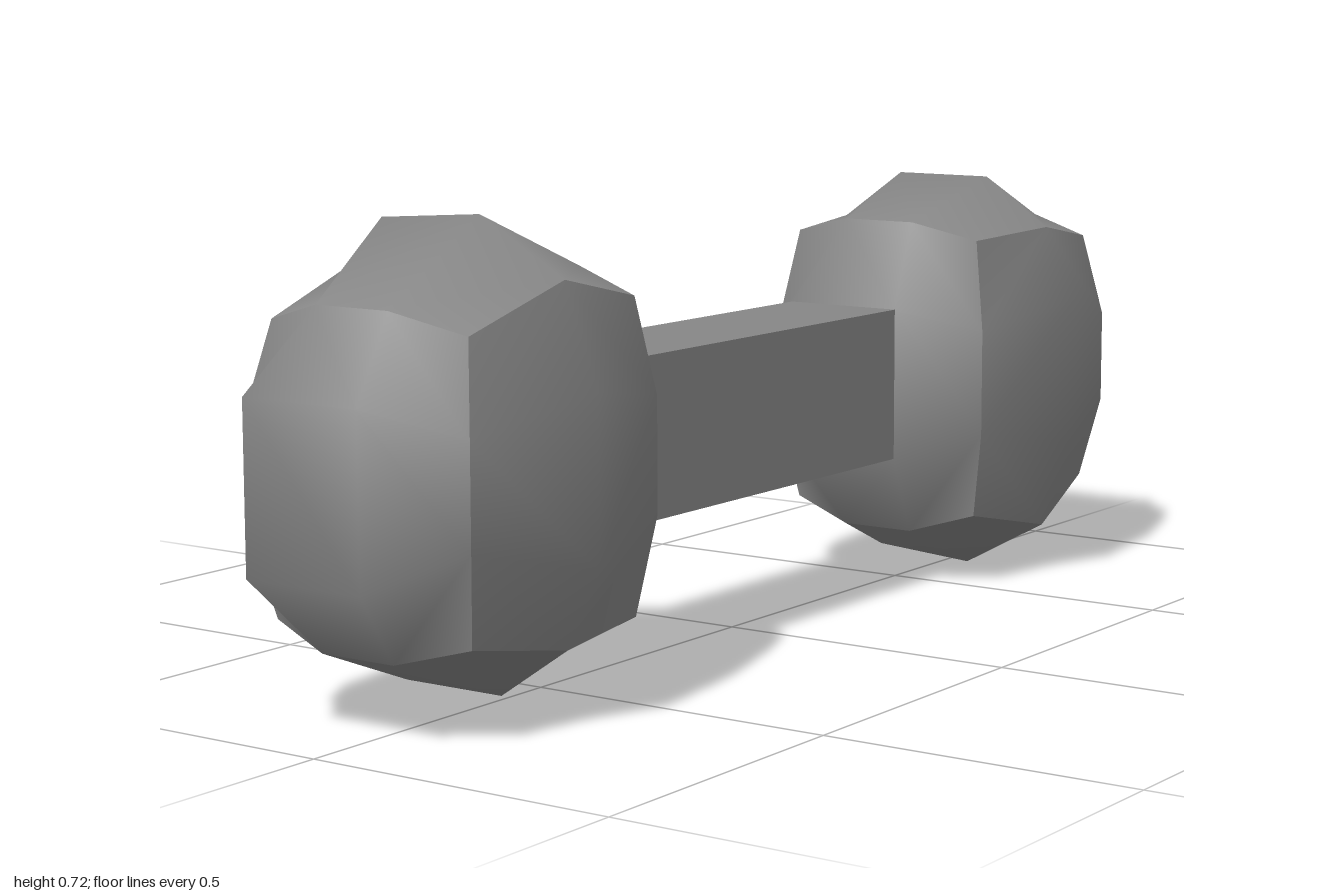
import * as THREE from 'three';
import { mergeGeometries } from 'three/addons/utils/BufferGeometryUtils.js';

// Head contours, clockwise seen from the outer end; every third point is a corner [x, y]
const OUTER = [[-.19, .575], [-.08, .605], [.05, .605], [.165, .575], [.19, .44], [.19, .285],
  [.165, .145], [.05, .115], [-.08, .115], [-.19, .145], [-.218, .285], [-.218, .44]];
const MIDDLE = [[-.218, .625], [-.14, .707], [.04, .72], [.19, .637], [.247, .485], [.247, .235],
  [.19, .115], [.07, .033], [-.105, .033], [-.218, .115], [-.247, .235], [-.247, .485]];
const INNER = [[-.19, .595], [-.08, .63], [.05, .63], [.165, .595], [.19, .45], [.19, .275],
  [.165, .125], [.05, .098], [-.08, .098], [-.19, .125], [-.218, .275], [-.218, .45]];

// Grip cross-section, shared with the flat middle of each head's ends
const GRIP = { x0: -.117, x1: .088, y0: .235, y1: .487, z: .35 };
const MID_Y = .36;

const ring = (points, z, cornerZ) =>
  points.map(([x, y], i) => [x, y - MID_Y, i % 3 === 0 ? cornerZ : z]);

// Smooth grid of points, creased only along its border; diagonals cut across its corners
function patch(rows) {
  const n = rows[0].length, down = rows.length - 1, across = n - 1, index = [];
  for (let r = 0; r < down; r++) {
    for (let c = 0; c < across; c++) {
      const a = r * n + c, b = a + 1, d = a + n, e = d + 1;
      const sameHalf = (2 * r < down - 1) === (2 * c < across - 1);
      if (sameHalf) index.push(a, b, d, b, e, d);
      else index.push(a, b, e, a, e, d);
    }
  }
  const g = new THREE.BufferGeometry();
  g.setAttribute('position', new THREE.Float32BufferAttribute(rows.flat(2), 3));
  g.setIndex(index);
  g.computeVertexNormals();
  return g;
}

// End of a head: a 4 x 4 grid with a flat middle at depth z
function capRows(p, z) {
  const { x0, x1 } = GRIP, y0 = GRIP.y0 - MID_Y, y1 = GRIP.y1 - MID_Y;
  return [
    [p[0], p[1], p[2], p[3]],
    [p[11], [x0, y1, z], [x1, y1, z], p[4]],
    [p[10], [x0, y0, z], [x1, y0, z], p[5]],
    [p[9], p[8], p[7], p[6]],
  ];
}

function headGeometry() {
  const rings = [ring(OUTER, .89, .86), ring(MIDDLE, .68, .68), ring(INNER, .465, .485)];
  const patches = [patch(capRows(rings[0], 1).reverse()), patch(capRows(rings[2], GRIP.z))];
  // Four bulging sides
  for (let k = 0; k < 4; k++) {
    patches.push(patch(rings.map(p => [0, 1, 2, 3].map(i => p[(k * 3 + i) % 12]))));
  }
  return mergeGeometries(patches);
}

export function createModel() {
  const group = new THREE.Group();
  const material = new THREE.MeshStandardMaterial({ color: 0x878787 });

  // Two heads, the rear one turned end over end
  const geometry = headGeometry();
  for (const [name, turn] of [['frontHead', 0], ['rearHead', Math.PI]]) {
    const head = new THREE.Mesh(geometry, material);
    head.name = name;
    head.position.y = MID_Y;
    head.rotation.x = turn;
    group.add(head);
  }

  // Square grip between the heads
  const { x0, x1, y0, y1, z } = GRIP;
  const grip = new THREE.Mesh(new THREE.BoxGeometry(x1 - x0, y1 - y0, 2 * z), material);
  grip.name = 'grip';
  grip.position.set((x0 + x1) / 2, (y0 + y1) / 2, 0);
  group.add(grip);
  return group;
}
